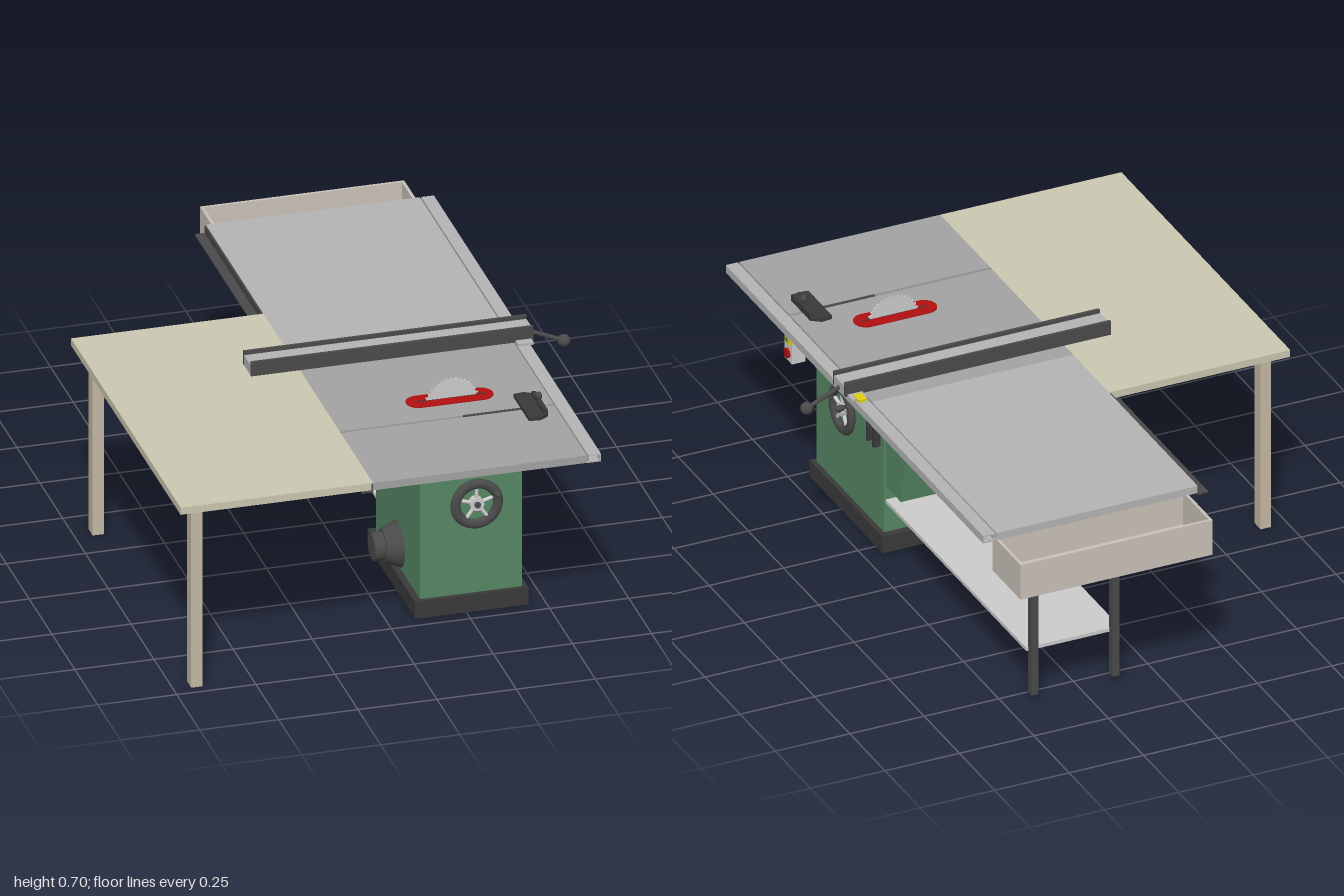
import * as THREE from 'three';

const mat = (c) => new THREE.MeshStandardMaterial({ color: c });
const M = {
  green: mat(0x568764), dark: mat(0x3a3a3a), black: mat(0x4a4a4a), iron: mat(0xa3a3a3),
  steel: mat(0xb4b4b4), light: mat(0xcccccc), ply: mat(0xcac7b0), wood: mat(0xc4b8a4),
  tray: mat(0xc9c1b8), red: mat(0xb01010), yellow: mat(0xe0d010),
};

export function createModel() {
  const root = new THREE.Group();

  const add = (name, geo, m, pos = [0, 0, 0], parent = root) => {
    const mesh = new THREE.Mesh(geo, m);
    mesh.name = name;
    mesh.position.set(...pos);
    parent.add(mesh);
    return mesh;
  };
  // Box given by its limits on each axis
  const box = (name, m, x0, x1, y0, y1, z0, z1, parent = root) =>
    add(name, new THREE.BoxGeometry(x1 - x0, y1 - y0, z1 - z0), m,
      [(x0 + x1) / 2, (y0 + y1) / 2, (z0 + z1) / 2], parent);
  const poly = (pts) => new THREE.Shape(pts.map(([x, y]) => new THREE.Vector2(x, y)));
  const extrude = (shape, depth, curveSegments = 16) =>
    new THREE.ExtrudeGeometry(shape, { depth, bevelEnabled: false, curveSegments });
  // Extrudes a (z, y) profile along x, starting at x0
  const alongX = (name, m, pts, x0, x1) => {
    const g = extrude(poly(pts.map(([z, y]) => [-z, y])), x1 - x0);
    g.rotateY(Math.PI / 2);
    return add(name, g, m, [x0, 0, 0]);
  };
  const rod = (name, m, a, b, r, parent = root) => {
    const A = new THREE.Vector3(...a), B = new THREE.Vector3(...b), d = B.clone().sub(A);
    const mesh = add(name, new THREE.CylinderGeometry(r, r, d.length(), 16), m,
      A.clone().add(B).multiplyScalar(0.5).toArray(), parent);
    mesh.quaternion.setFromUnitVectors(new THREE.Vector3(0, 1, 0), d.normalize());
    return mesh;
  };

  // Cabinet on a hollow plinth
  box('cabinet', M.green, 0.105, 0.427, 0.05, 0.61, 0.22, 0.7);
  for (const [x0, x1] of [[0.085, 0.105], [0.423, 0.443]]) box('plinthSide', M.dark, x0, x1, 0.005, 0.062, 0.195, 0.715);
  for (const [z0, z1] of [[0.195, 0.22], [0.695, 0.715]]) box('plinthEnd', M.dark, 0.105, 0.423, 0.005, 0.062, z0, z1);
  alongX('motorCover', M.green, [[0.22, 0.22], [0.115, 0.22], [0.06, 0.525], [0.06, 0.608], [0.22, 0.608]], 0.14, 0.42);
  box('coverLatch', M.dark, 0.42, 0.428, 0.41, 0.44, 0.075, 0.085);

  // Handles on the side of the cabinet
  for (const z of [0.295, 0.25]) {
    box('doorHandle', M.dark, 0.427, 0.45, 0.35, 0.475, z - 0.006, z + 0.006);
  }
  const lock = rod('lockKnob', M.black, [0.427, 0.455, 0.505], [0.445, 0.455, 0.505], 0.014);
  lock.name = 'lockKnob';

  // Dust port
  const port = new THREE.LatheGeometry(
    [[0, 0.085], [0.03, 0.085], [0.038, 0.085], [0.045, 0.083], [0.045, 0.05], [0.052, 0.05], [0.074, 0]]
      .map(([r, h]) => new THREE.Vector2(r, h)).reverse(), 32);
  const duct = add('dustPort', port, new THREE.MeshStandardMaterial({ color: 0x4a4a4a, side: THREE.DoubleSide, flatShading: true }), [0.105, 0.136, 0.46]);
  duct.rotation.z = Math.PI / 2;

  // Handwheel facing +z, with five spokes and a crank grip
  const handwheel = (name, x, y, z, turn) => {
    const g = new THREE.Group();
    g.name = name;
    const rim = add('wheelRim', new THREE.TorusGeometry(0.067, 0.016, 12, 40), M.black, [0, 0, 0.028], g);
    rim.scale.z = 0.75;
    rod('wheelHub', M.light, [0, 0, 0.012], [0, 0, 0.036], 0.022, g);
    rod('wheelShaft', M.black, [0, 0, 0], [0, 0, 0.042], 0.01, g);
    for (let i = 0; i < 5; i++) {
      const a = Math.PI / 2 + i * Math.PI * 0.4;
      rod('wheelSpoke', M.light, [0, 0, 0.026], [0.06 * Math.cos(a), 0.06 * Math.sin(a), 0.028], 0.006, g);
    }
    rod('gripPin', M.black, [0.057, 0.04, 0.03], [0.057, 0.04, 0.06], 0.004, g);
    const grip = add('wheelGrip', new THREE.SphereGeometry(0.01, 16, 12), M.black, [0.057, 0.04, 0.06], g);
    grip.scale.z = 1.9;
    g.position.set(x, y, z);
    g.rotation.y = turn;
    root.add(g);
  };
  handwheel('frontWheel', 0.276, 0.376, 0.7, 0);
  handwheel('sideWheel', 0.427, 0.376, 0.46, Math.PI / 2);

  // Saw table with mitre groove, and outfeed table
  alongX('sawTable', M.iron, [[0.055, 0.607], [1, 0.607], [1, 0.632], [0.646, 0.632], [0.646, 0.622],
    [0.634, 0.622], [0.634, 0.632], [0.055, 0.632]], -0.13, 0.545);
  box('outfeedTable', M.steel, -0.13, 0.545, 0.607, 0.632, -0.83, 0.055);

  // Rails along both edges
  box('leftRailFoot', M.black, -0.165, -0.13, 0.6, 0.605, -0.83, 1);
  box('leftRailWeb', M.black, -0.135, -0.13, 0.6, 0.63, -0.83, 1);
  box('railFlange', M.steel, 0.545, 0.568, 0.606, 0.611, -0.83, 1);
  const tube = poly([[0.55, 0.606], [0.59, 0.606], [0.59, 0.632], [0.55, 0.632]]);
  tube.holes.push(new THREE.Path([[0.554, 0.61], [0.554, 0.628], [0.586, 0.628], [0.586, 0.61]].map((p) => new THREE.Vector2(...p))));
  add('fenceRail', extrude(tube, 1.83), M.steel, [0, 0, -0.83]);

  // Side table with legs
  box('sideTable', M.ply, -0.738, -0.13, 0.608, 0.632, -0.2, 1);
  for (const z of [0.945, -0.133]) box('sideTableLeg', M.wood, -0.695, -0.66, 0, 0.608, z - 0.022, z + 0.022);

  // Outfeed legs, shelf and open tray
  for (const x of [0.13, 0.402]) box('outfeedLeg', M.black, x - 0.012, x + 0.012, 0.015, 0.607, -0.8, -0.776);
  box('shelf', M.light, 0.11, 0.422, 0.163, 0.175, -0.78, 0.22);
  box('trayBottom', M.tray, -0.1, 0.545, 0.487, 0.497, -1, -0.8);
  for (const z of [-1, -0.81]) box('trayLongWall', M.tray, -0.1, 0.545, 0.497, 0.608, z, z + 0.01);
  for (const x of [-0.1, 0.535]) box('trayEndWall', M.tray, x, x + 0.01, 0.497, 0.608, -0.99, -0.81);

  // Rip fence with clamp and lever
  box('fenceBody', M.steel, -0.285, 0.607, 0.634, 0.668, 0.125, 0.193);
  for (const z of [0.115, 0.193]) box('fenceFace', M.black, -0.285, 0.607, 0.633, 0.68, z, z + 0.01);
  box('fenceClamp', M.steel, 0.55, 0.6, 0.632, 0.64, 0.08, 0.23);
  box('fencePointer', M.yellow, 0.558, 0.586, 0.633, 0.642, 0.065, 0.105);
  rod('fenceLever', M.black, [0.6, 0.647, 0.16], [0.715, 0.597, 0.16], 0.007);
  add('leverKnob', new THREE.SphereGeometry(0.02, 24, 16), M.black, [0.715, 0.597, 0.16]);

  // Blade with raked teeth, in its red insert
  const teeth = [], count = 36;
  for (let i = 0; i < count; i++) {
    const a = (i / count) * Math.PI * 2, b = ((i + 0.85) / count) * Math.PI * 2;
    teeth.push([0.089 * Math.cos(a), 0.089 * Math.sin(a)], [0.079 * Math.cos(b), 0.079 * Math.sin(b)]);
  }
  add('blade', extrude(poly(teeth), 0.004), M.light, [0.26, 0.613, 0.508]);
  const insert = new THREE.Shape();
  insert.absarc(0.097, 0, 0.04, -Math.PI / 2, Math.PI / 2);
  insert.absarc(-0.097, 0, 0.04, Math.PI / 2, Math.PI * 1.5);
  const plate = add('throatInsert', extrude(insert, 0.006), M.red, [0.253, 0.629, 0.51]);
  plate.rotation.x = -Math.PI / 2;
  box('bladeSlot', M.dark, 0.15, 0.365, 0.634, 0.6355, 0.507, 0.513);

  // Mitre gauge
  box('mitreBar', M.black, 0.26, 0.46, 0.623, 0.634, 0.635, 0.645);
  const head = poly([[0.44, -0.73], [0.475, -0.735], [0.505, -0.715], [0.505, -0.58], [0.475, -0.558], [0.44, -0.562]]);
  const gauge = add('mitreHead', extrude(head, 0.012), M.dark, [0, 0.634, 0]);
  gauge.rotation.x = -Math.PI / 2;
  box('mitreFace', M.dark, 0.49, 0.505, 0.634, 0.656, 0.58, 0.715);
  rod('mitreStem', M.black, [0.495, 0.64, 0.648], [0.495, 0.685, 0.648], 0.005);
  const knob = add('mitreKnob', new THREE.SphereGeometry(0.01, 16, 12), M.black, [0.495, 0.672, 0.648]);
  knob.scale.y = 1.4;

  // Switch box hanging under the table edge
  box('switchBracket', M.black, 0.508, 0.522, 0.52, 0.608, 0.585, 0.625);
  box('switchBox', M.light, 0.522, 0.567, 0.497, 0.592, 0.578, 0.632);
  box('startPlate', M.yellow, 0.567, 0.571, 0.558, 0.588, 0.586, 0.624);
  rod('startButton', M.green, [0.567, 0.573, 0.605], [0.574, 0.573, 0.605], 0.008);
  rod('stopButton', M.red, [0.567, 0.525, 0.605], [0.575, 0.525, 0.605], 0.016);

  return root;
}
